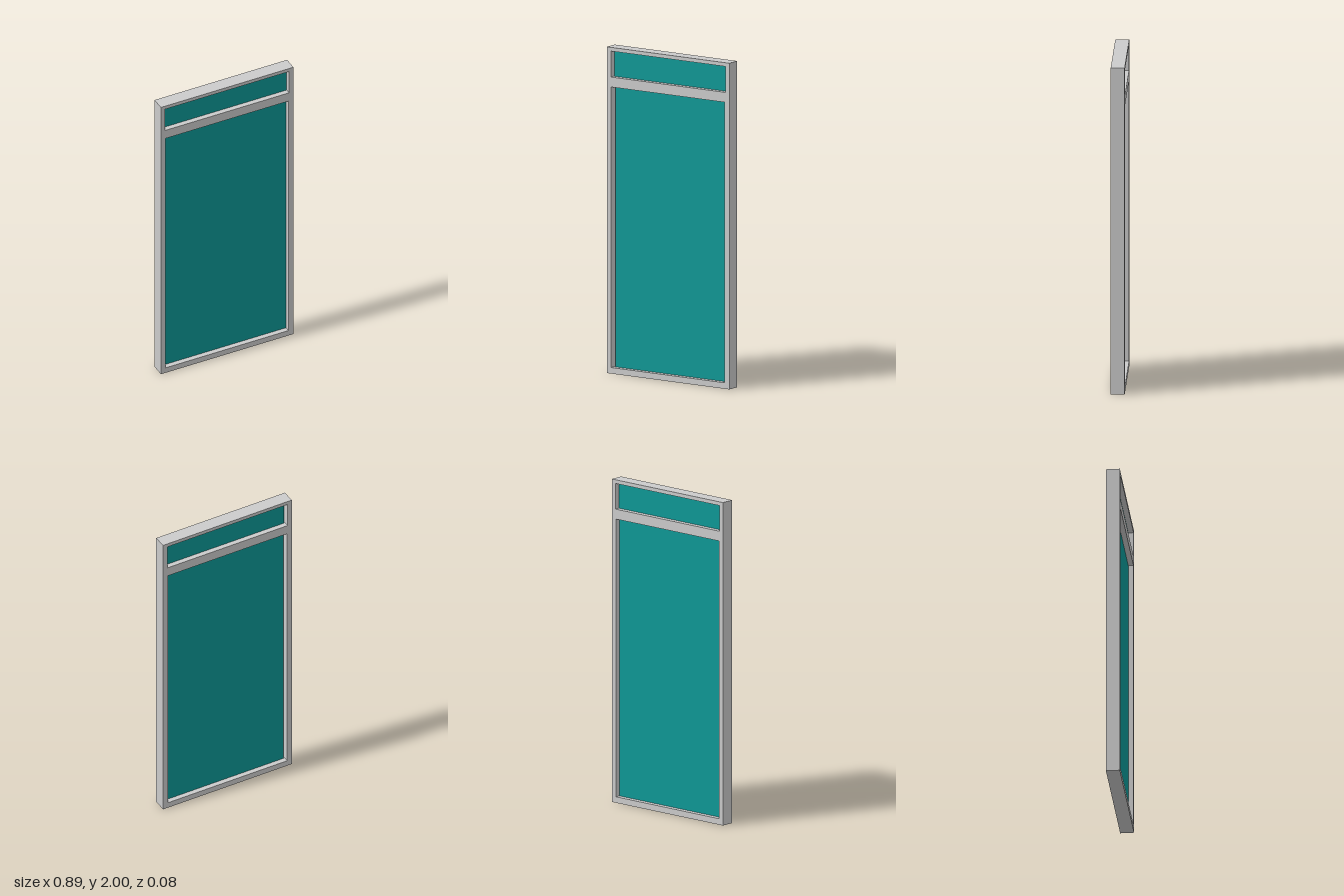
import * as THREE from 'three';

const HALF_W = 0.447, HEIGHT = 2, DEPTH = 0.084;

// Rectangular opening and its pane, given as [x0, x1, y0, y1]
const bays = [
  { name: 'mainPane', opening: [-0.415, 0.413, 0.037, 1.757], pane: [-0.407, 0.413, 0.037, 1.757] },
  { name: 'transomPane', opening: [-0.418, 0.418, 1.818, 1.977], pane: [-0.411, 0.418, 1.818, 1.977] },
];

function trace(path, [x0, x1, y0, y1]) {
  path.moveTo(x0, y0);
  path.lineTo(x1, y0);
  path.lineTo(x1, y1);
  path.lineTo(x0, y1);
  path.closePath();
  return path;
}

export function createModel() {
  const model = new THREE.Group();
  model.name = 'glazedDoorPanel';
  const frameMaterial = new THREE.MeshStandardMaterial({ color: 0xcccccc });
  const paneMaterial = new THREE.MeshStandardMaterial({ color: 0x0c9896 });

  // Frame with the two openings cut through it
  const outline = trace(new THREE.Shape(), [-HALF_W, HALF_W, 0, HEIGHT]);
  for (const { opening } of bays) outline.holes.push(trace(new THREE.Path(), opening));
  const frameGeometry = new THREE.ExtrudeGeometry(outline, { depth: DEPTH, bevelEnabled: false });
  frameGeometry.translate(0, 0, -DEPTH / 2);
  const frame = new THREE.Mesh(frameGeometry, frameMaterial);
  frame.name = 'frame';
  model.add(frame);

  // Thin panes set at mid depth, leaving a narrow gap at one side
  for (const { name, pane: [x0, x1, y0, y1] } of bays) {
    const pane = new THREE.Mesh(new THREE.BoxGeometry(x1 - x0, y1 - y0, 0.02), paneMaterial);
    pane.position.set((x0 + x1) / 2, (y0 + y1) / 2, 0);
    pane.name = name;
    model.add(pane);
  }
  return model;
}
